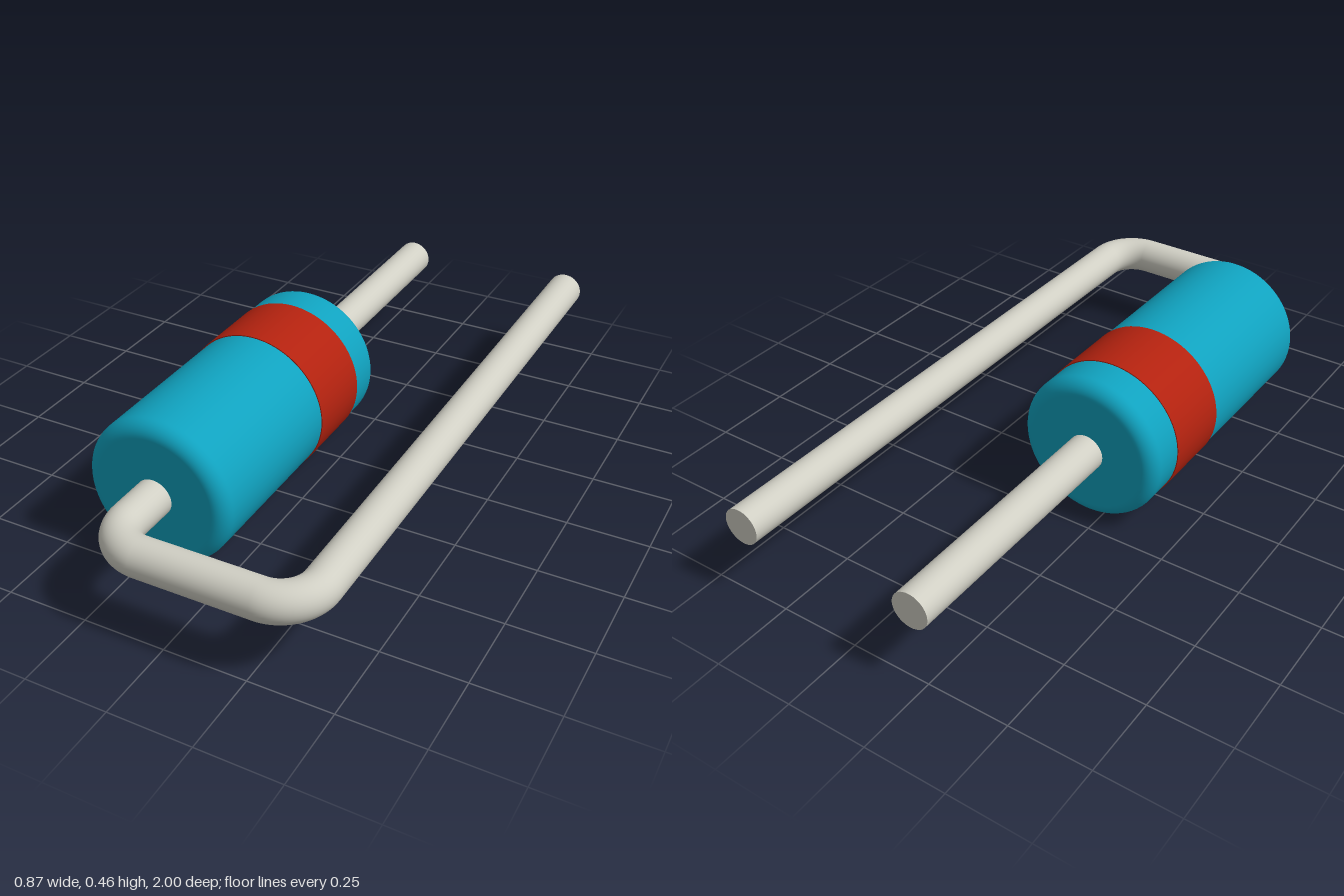
import * as THREE from 'three';

const AXIS_X = -0.206, AXIS_Y = 0.231;   // body axis
const LEG_X = 0.377;                     // folded leg
const WIRE_R = 0.057, BEND_R = 0.114;
const CROSS_Z = 1 - WIRE_R;              // centre line of the crossing wire

const teal = new THREE.MeshStandardMaterial({ name: 'teal body', color: 0x10a2bf });
const red = new THREE.MeshStandardMaterial({ name: 'red band', color: 0xb3220f });
const metal = new THREE.MeshStandardMaterial({ name: 'grey metal', color: 0xd0cfc4 });

// Surface of revolution around the body axis; points are (radius, z)
function turned(points, material, name) {
  const geo = new THREE.LatheGeometry(points, 72);
  geo.rotateX(Math.PI / 2);
  const mesh = new THREE.Mesh(geo, material);
  mesh.name = name;
  mesh.position.set(AXIS_X, AXIS_Y, 0);
  return mesh;
}

// Straight capped wire between two points in the x-z plane
function wire(x0, z0, x1, z1, name) {
  const geo = new THREE.CylinderGeometry(WIRE_R, WIRE_R, Math.hypot(x1 - x0, z1 - z0), 40);
  if (x0 === x1) geo.rotateX(Math.PI / 2);
  else geo.rotateZ(Math.PI / 2);
  const mesh = new THREE.Mesh(geo, metal);
  mesh.name = name;
  mesh.position.set((x0 + x1) / 2, AXIS_Y, (z0 + z1) / 2);
  return mesh;
}

// Quarter-circle bend starting at the given angle
function bend(x, start, name) {
  const geo = new THREE.TorusGeometry(BEND_R, WIRE_R, 40, 20, Math.PI / 2);
  geo.rotateZ(start);
  geo.rotateX(Math.PI / 2);
  const mesh = new THREE.Mesh(geo, metal);
  mesh.name = name;
  mesh.position.set(x, AXIS_Y, CROSS_Z - BEND_R);
  return mesh;
}

export function createModel() {
  const group = new THREE.Group();
  group.name = 'axialDiode';

  // Body with rounded rims
  const r = 0.228, back = -0.2, front = 0.71, f = 0.045, steps = 10;
  const profile = [new THREE.Vector2(0, back)];
  for (let i = 0; i <= steps; i++) {
    const a = (i / steps) * Math.PI / 2;
    profile.push(new THREE.Vector2(r - f + f * Math.sin(a), back + f - f * Math.cos(a)));
  }
  for (let i = 0; i <= steps; i++) {
    const a = (i / steps) * Math.PI / 2;
    profile.push(new THREE.Vector2(r - f + f * Math.cos(a), front - f + f * Math.sin(a)));
  }
  profile.push(new THREE.Vector2(0, front));
  group.add(turned(profile, teal, 'body'));

  // Polarity band
  const b = [new THREE.Vector2(0.231, -0.065), new THREE.Vector2(0.231, 0.165)];
  group.add(turned(b, red, 'band'));
  [-0.065, 0.165].forEach((z, i) => {
    const lip = [new THREE.Vector2(0.226, z), new THREE.Vector2(0.231, z)];
    if (i) lip.reverse();
    group.add(turned(lip, red, 'bandEdge'));
  });

  // Wire leads
  const bendZ = CROSS_Z - BEND_R;
  group.add(
    wire(AXIS_X, -1, AXIS_X, back + 0.02, 'backLead'),
    wire(AXIS_X, front - 0.02, AXIS_X, bendZ, 'frontLead'),
    bend(AXIS_X + BEND_R, Math.PI / 2, 'rightBend'),
    wire(AXIS_X + BEND_R, CROSS_Z, LEG_X - BEND_R, CROSS_Z, 'crossLead'),
    bend(LEG_X - BEND_R, 0, 'leftBend'),
    wire(LEG_X, bendZ, LEG_X, -1, 'foldedLead')
  );
  return group;
}
